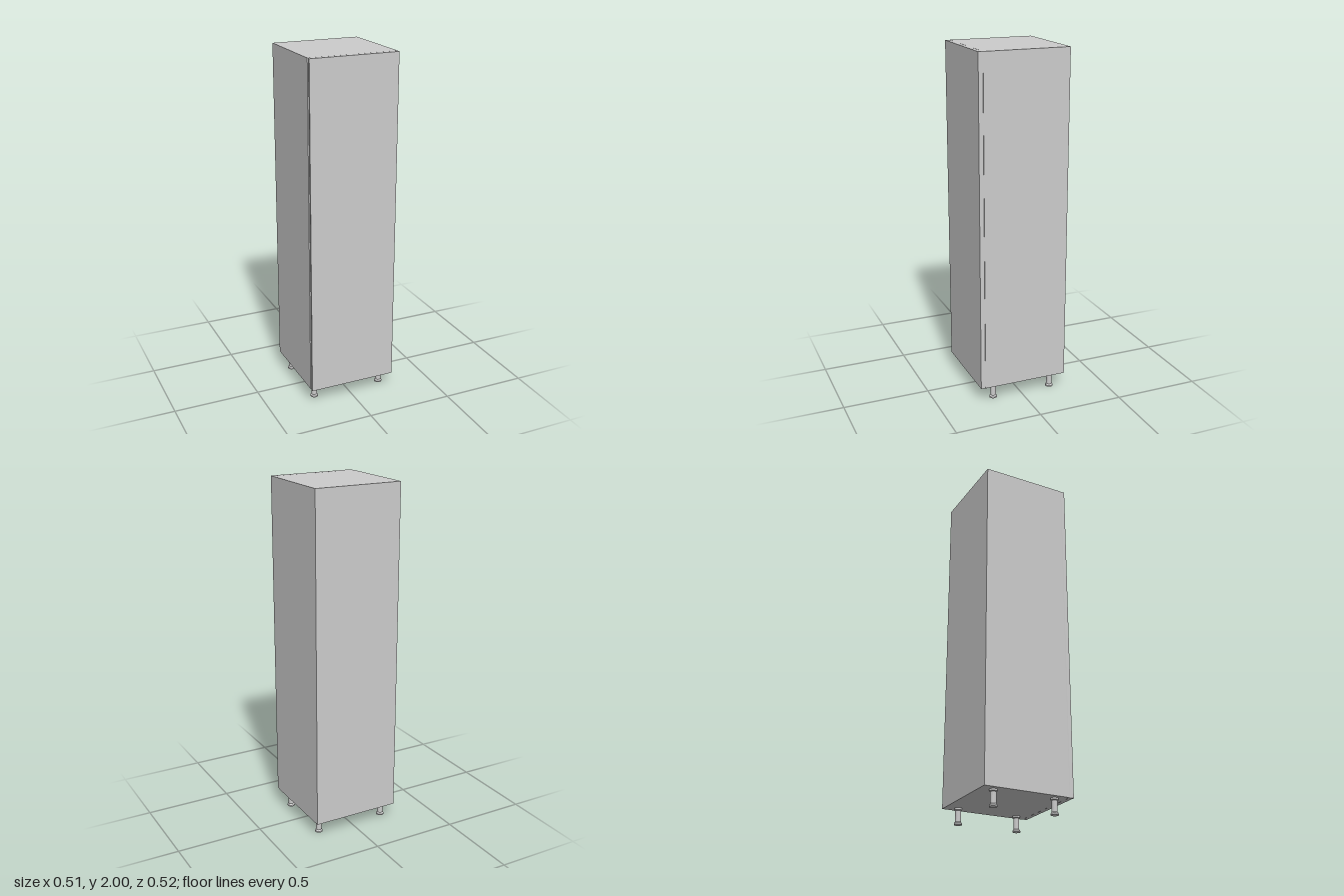
import * as THREE from 'three';

const material = new THREE.MeshStandardMaterial({ color: 0xcccccc });
const W = 0.257, BOTTOM = 0.09, TOP = 2, BACK = -0.261, FRONT = 0.234, T = 0.018;

function add(parent, name, geometry, x = 0, y = 0, z = 0) {
  const mesh = new THREE.Mesh(geometry, material);
  mesh.name = name;
  mesh.position.set(x, y, z);
  parent.add(mesh);
  return mesh;
}

// Box given by its lower and upper corners
function panel(parent, name, [x0, y0, z0], [x1, y1, z1]) {
  add(parent, name, new THREE.BoxGeometry(x1 - x0, y1 - y0, z1 - z0),
    (x0 + x1) / 2, (y0 + y1) / 2, (z0 + z1) / 2);
}

export function createModel() {
  const cabinet = new THREE.Group();
  cabinet.name = 'tallCabinet';

  // Carcass made of five boards
  const carcass = new THREE.Group();
  carcass.name = 'carcass';
  cabinet.add(carcass);
  panel(carcass, 'rightSide', [-W, BOTTOM, BACK], [-W + T, TOP, FRONT]);
  panel(carcass, 'leftSide', [W - T, BOTTOM, BACK], [W, TOP, FRONT]);
  panel(carcass, 'topBoard', [-W + T, TOP - T, BACK], [W - T, TOP, FRONT]);
  panel(carcass, 'bottomBoard', [-W + T, BOTTOM, BACK], [W - T, BOTTOM + T, FRONT]);
  panel(carcass, 'backBoard', [-W + T, BOTTOM + T, BACK], [W - T, TOP - T, BACK + 0.008]);

  // Door: plan outline with a hollowed finger groove along the hinge edge
  const outline = new THREE.Shape();
  outline.moveTo(-W, 0.26);
  outline.lineTo(-W, 0.253);
  outline.quadraticCurveTo(-0.256, 0.242, -0.249, 0.235);
  outline.lineTo(0.255, 0.235);
  outline.lineTo(0.254, 0.26);
  outline.closePath();
  const doorGeometry = new THREE.ExtrudeGeometry(outline, {
    depth: TOP - BOTTOM, bevelEnabled: false, curveSegments: 6,
  });
  doorGeometry.rotateX(Math.PI / 2); // outline y becomes z, depth runs down from the top
  add(cabinet, 'door', doorGeometry, 0, TOP, 0);

  // Six hinges in the groove
  for (let i = 0; i < 6; i++) {
    add(cabinet, 'hinge', new THREE.BoxGeometry(0.05, 0.03, 0.006), -0.224, 0.195 + i * 0.339, 0.236);
  }

  // Turned feet: flared base, straight shaft, top flange
  const profile = [
    [0, 0], [0.022, 0], [0.022, 0.008], [0.016, 0.016], [0.016, 0.076],
    [0.021, 0.08], [0.021, BOTTOM], [0, BOTTOM],
  ].map(([r, y]) => new THREE.Vector2(r, y));
  const footGeometry = new THREE.LatheGeometry(profile, 24).toNonIndexed();
  footGeometry.computeVertexNormals();
  for (const x of [-0.209, 0.209]) {
    for (const z of [0.17, -0.187]) add(cabinet, 'foot', footGeometry, x, 0, z);
  }
  return cabinet;
}
